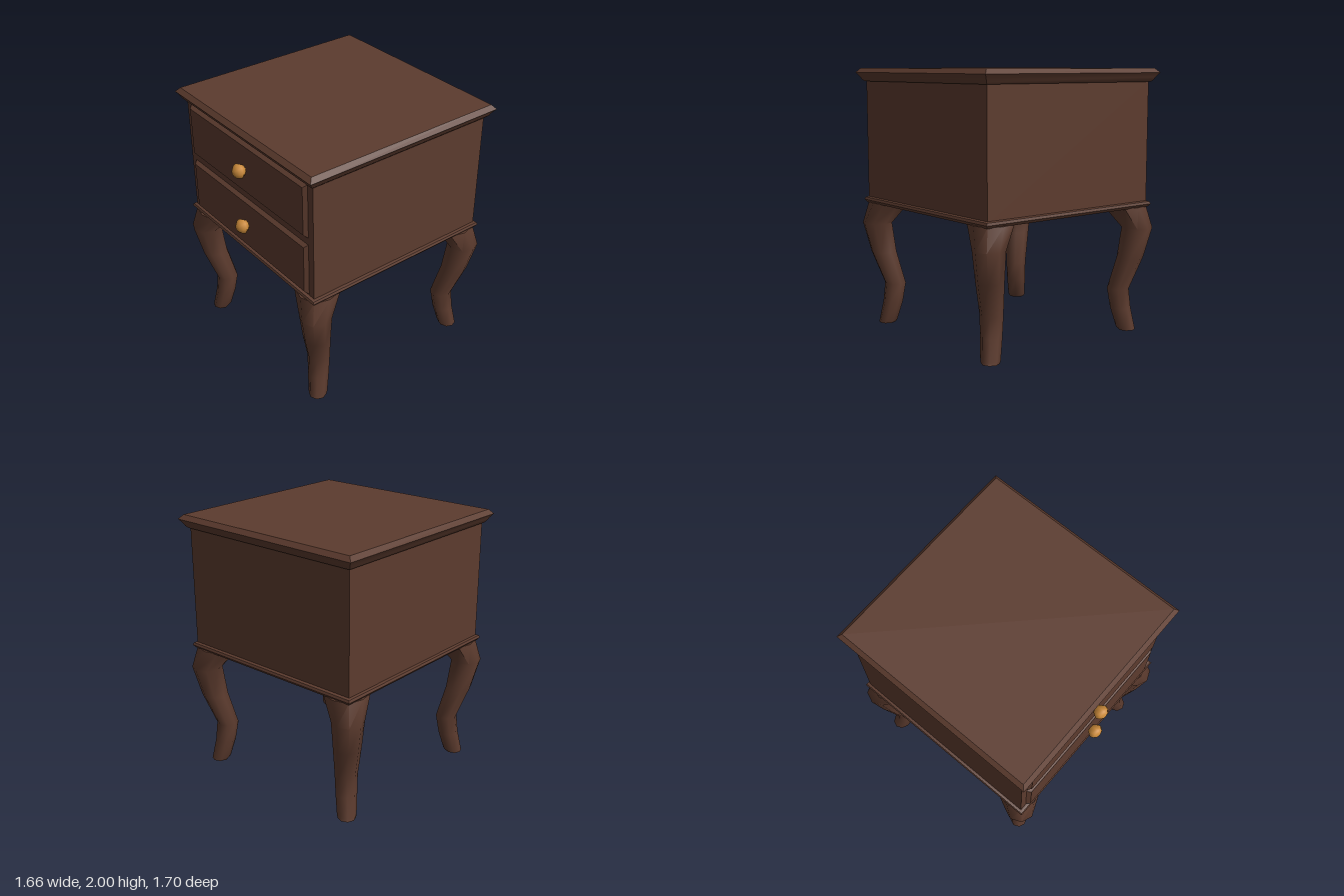
import * as THREE from 'three';
import { toCreasedNormals } from 'three/addons/utils/BufferGeometryUtils.js';

// Skin a stack of equal-length rings (bottom to top) and cap both ends.
function loft(rings, crease) {
  const pos = [];
  const n = rings[0].length;
  const tri = (a, b, c) => pos.push(...a, ...b, ...c);
  for (let k = 0; k < rings.length - 1; k++) {
    for (let i = 0; i < n; i++) {
      const j = (i + 1) % n;
      tri(rings[k][i], rings[k][j], rings[k + 1][j]);
      tri(rings[k][i], rings[k + 1][j], rings[k + 1][i]);
    }
  }
  const last = rings[rings.length - 1];
  for (let i = 1; i < n - 1; i++) {
    tri(last[0], last[i], last[i + 1]);
    tri(rings[0][0], rings[0][i + 1], rings[0][i]);
  }
  const geo = new THREE.BufferGeometry();
  geo.setAttribute('position', new THREE.Float32BufferAttribute(pos, 3));
  return toCreasedNormals(geo, crease);
}

// Rectangular moulding from [half width, half depth, height] steps.
const moulding = (steps, crease = 0.75) => loft(
  steps.map(([w, d, y]) => [[w, y, d], [w, y, -d], [-w, y, -d], [-w, y, d]]), crease);

export function createModel() {
  const group = new THREE.Group();
  const wood = new THREE.MeshStandardMaterial({ color: 0x5c3b2e });
  wood.name = 'dark wood';
  const brass = new THREE.MeshStandardMaterial({ color: 0xcb8a3a });
  brass.name = 'golden brass';
  const CZ = -0.02; // cabinet centre, leaving room for the knobs

  const add = (name, geo, mat, x, y, z) => {
    const mesh = new THREE.Mesh(geo, mat);
    mesh.name = name;
    mesh.position.set(x, y, z);
    group.add(mesh);
    return mesh;
  };

  // Cabinet box
  add('cabinet', new THREE.BoxGeometry(1.52, 0.92, 1.515), wood, 0, 1.45, CZ);

  // Table top with a moulded edge
  const square = ([r, y]) => [r, r, y];
  add('tableTop', moulding([[0.77, 1.9], [0.785, 1.915], [0.795, 1.935],
    [0.82, 1.967], [0.79, 2.0]].map(square)), wood, 0, 0, CZ);

  // Trim around the cabinet base
  add('baseTrim', moulding([[0.768, 0.96], [0.785, 0.982], [0.778, 1.0],
    [0.762, 1.006]].map(square)), wood, 0, 0, CZ);

  // Bevelled drawer fronts, each with a faceted knob
  const drawerGeo = moulding([[0.705, 0.205, 0], [0.683, 0.183, 0.027]], 0.4);
  drawerGeo.rotateX(Math.PI / 2);
  const knobProfile = [[0, 0], [0.03, 0], [0.04, 0.012], [0.058, 0.04],
    [0.05, 0.063], [0.027, 0.083], [0, 0.087]].map(([r, y]) => new THREE.Vector2(r, y));
  const knobGeo = new THREE.LatheGeometry(knobProfile, 8);
  knobGeo.rotateX(Math.PI / 2);
  [['upper', 1.685, 1.68], ['lower', 1.22, 1.222]].forEach(([tag, y, knobY]) => {
    add(tag + 'Drawer', drawerGeo, wood, 0, y, 0.737);
    add(tag + 'Knob', knobGeo, brass, 0, knobY, 0.762);
  });

  // Curved legs: height, distance from centre, radius, squareness of section
  const legSteps = [
    [0, 0.668, 0.066, 1], [0.02, 0.661, 0.071, 1], [0.17, 0.633, 0.078, 1],
    [0.32, 0.618, 0.083, 1], [0.57, 0.68, 0.1, 1], [0.8, 0.714, 0.116, 1],
    [0.965, 0.645, 0.145, 1.12],
  ];
  for (const [sx, sz, name] of [[1, 1, 'frontLeftLeg'], [-1, 1, 'frontRightLeg'],
    [1, -1, 'backLeftLeg'], [-1, -1, 'backRightLeg']]) {
    const rings = legSteps.map(([y, c, r, sq]) => Array.from({ length: 8 }, (_, i) => {
      const a = i * Math.PI / 4;
      const rad = i % 2 ? r * sq : r;
      return [sx * c + rad * Math.cos(a), y, sz * c - rad * Math.sin(a)];
    }));
    add(name, loft(rings, 1.0), wood, 0, 0, CZ);
  }
  return group;
}
